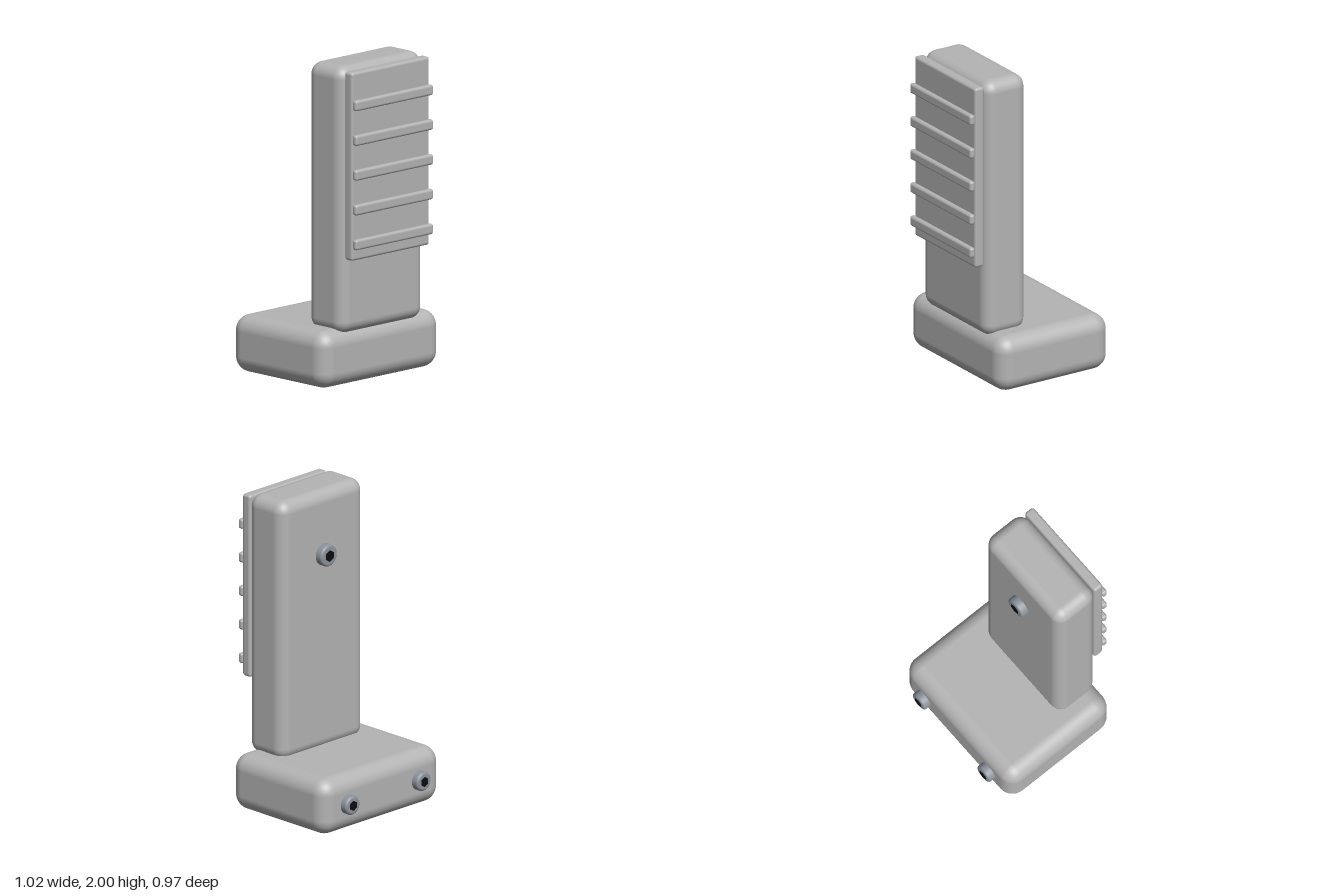
import * as THREE from 'three';
import { RoundedBoxGeometry } from 'three/addons/geometries/RoundedBoxGeometry.js';

export function createModel() {
  const model = new THREE.Group();
  model.name = 'ribbedStand';

  const material = (name, color) => {
    const m = new THREE.MeshStandardMaterial({ color });
    m.name = name;
    return m;
  };
  const grey = material('body grey', 0xb4b4b4);
  const steel = material('bolt steel', 0x8c949c);
  const black = material('socket black', 0x0c0d0f);

  // Rounded block given by its extents on each axis
  const block = (name, halfWidth, [y0, y1], [z0, z1], radius, segments = 5) => {
    const geometry = new RoundedBoxGeometry(halfWidth * 2, y1 - y0, z1 - z0, segments, radius);
    const mesh = new THREE.Mesh(geometry, grey);
    mesh.name = name;
    mesh.position.set(0, (y0 + y1) / 2, (z0 + z1) / 2);
    model.add(mesh);
  };

  block('base', 0.512, [0, 0.36], [-0.437, 0.382], 0.1);
  block('column', 0.359, [0.325, 2], [0.077, 0.385], 0.078);
  block('frontPad', 0.334, [0.8, 1.978], [0.383, 0.45], 0.018, 3);

  // Horizontal grip ribs on the pad
  for (let i = 0; i < 5; i++) {
    const y = 0.905 + i * 0.2175;
    block('rib', 0.334, [y - 0.033, y + 0.033], [0.448, 0.486], 0.016, 3);
  }

  // Round bolt head with a softened rim and a dark hexagonal socket, facing -z
  const bolt = (name, x, y, z, radius) => {
    const height = 0.05, rim = 0.016;
    const profile = [new THREE.Vector2(radius, -0.01)];
    for (let i = 0; i <= 4; i++) {
      const a = (i / 4) * Math.PI / 2;
      profile.push(new THREE.Vector2(
        radius - rim + rim * Math.cos(a),
        height - rim + rim * Math.sin(a)));
    }
    profile.push(new THREE.Vector2(0, height));
    const head = new THREE.Mesh(new THREE.LatheGeometry(profile, 32), steel);
    head.name = 'boltHead';
    const socket = new THREE.Mesh(
      new THREE.CylinderGeometry(radius * 0.53, radius * 0.53, 0.006, 6), black);
    socket.name = 'hexSocket';
    socket.position.y = height;
    const group = new THREE.Group();
    group.name = name;
    group.add(head, socket);
    group.rotation.x = -Math.PI / 2;
    group.position.set(x, y, z);
    model.add(group);
  };

  bolt('columnBolt', 0, 1.595, 0.077, 0.07);
  for (const side of [-1, 1]) bolt('baseBolt', side * 0.307, 0.183, -0.435, 0.061);

  return model;
}
